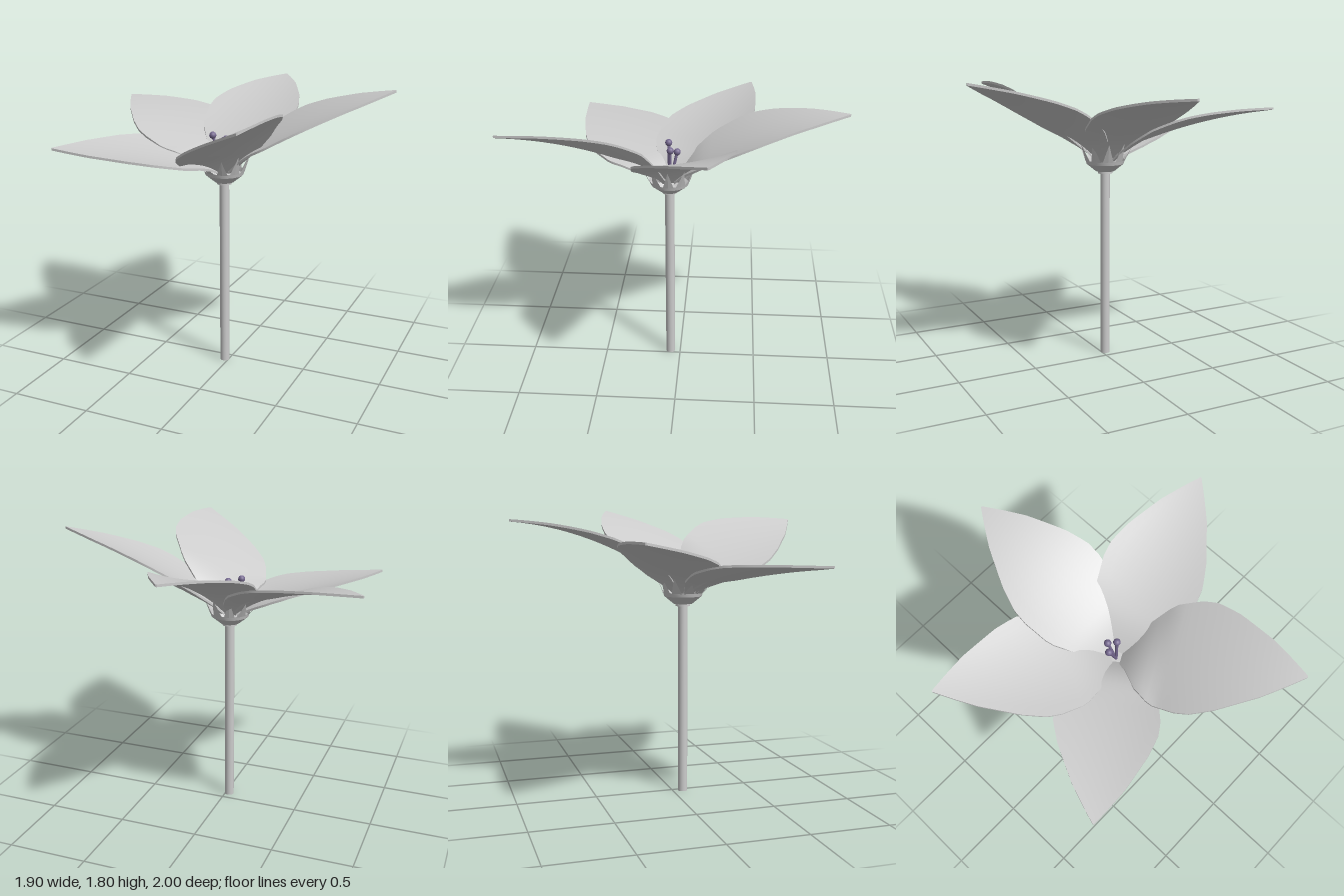
import * as THREE from 'three';
import { toCreasedNormals } from 'three/addons/utils/BufferGeometryUtils.js';

const CX = -0.025, CZ = 0.065; // stem axis

const grey = new THREE.MeshStandardMaterial({ color: 0xcccccc });
const greyThin = new THREE.MeshStandardMaterial({ color: 0xcccccc, side: THREE.DoubleSide });
const purple = new THREE.MeshStandardMaterial({ color: 0x75688f });

function add(parent, name, geometry, material) {
  const mesh = new THREE.Mesh(geometry, material);
  mesh.name = name;
  parent.add(mesh);
  return mesh;
}

// Half-width of a petal along its length: [fraction, half-width]
const OUTLINE = [[0, 0.03], [0.06, 0.07], [0.15, 0.195], [0.25, 0.27], [0.4, 0.298], [0.48, 0.293],
  [0.6, 0.25], [0.8, 0.145], [0.91, 0.07], [1, 0.004]];

function halfWidth(t) {
  let k = 0;
  while (k < OUTLINE.length - 2 && t > OUTLINE[k + 1][0]) k++;
  const [t0, w0] = OUTLINE[k], [t1, w1] = OUTLINE[k + 1];
  return THREE.MathUtils.mapLinear(t, t0, t1, w0, w1);
}

// Thin closed blade: each section is a loop over the upper side and back along the underside
function petalGeometry({ tip: [tx, ty, tz], midY, tilt }) {
  const rows = 24, cols = 10, thick = 0.014, baseY = 1.31;
  const length = Math.hypot(tx - CX, tz - CZ);
  const dx = (tx - CX) / length, dz = (tz - CZ) / length;
  const c = 2 * (ty - baseY) - 4 * (midY - baseY); // height is a parabola through base, middle, tip
  const b = ty - baseY - c;
  const ring = 2 * (cols + 1);
  const pos = [], index = [];
  for (let i = 0; i <= rows; i++) {
    const t = 0.03 + 0.97 * i / rows;
    const w = halfWidth(t);
    const dip = 0.07 * Math.max(0, 1 - t / 0.2) ** 2; // the root drops into the calyx
    const lean = tilt * Math.min(1, t / 0.28);
    for (let k = 0; k < ring; k++) {
      const top = k <= cols;
      const j = top ? k : ring - 1 - k;
      const p = w * (2 * j / cols - 1);
      const y = baseY + b * t + c * t * t - dip + lean * p + 0.35 * p * p + (top ? 0.5 : -0.5) * thick;
      pos.push(CX + dx * t * length + dz * p, y, CZ + dz * t * length - dx * p);
    }
  }
  for (let i = 0; i < rows; i++) {
    for (let k = 0; k < ring; k++) {
      const a = i * ring + k, a2 = i * ring + (k + 1) % ring;
      index.push(a, a + ring, a2, a2, a + ring, a2 + ring);
    }
  }
  // close the tip
  for (let k = 1, e = rows * ring; k < ring - 1; k++) index.push(e, e + k + 1, e + k);
  const g = new THREE.BufferGeometry();
  g.setAttribute('position', new THREE.Float32BufferAttribute(pos, 3));
  g.setIndex(index);
  return toCreasedNormals(g, 0.7);
}

export function createModel() {
  const flower = new THREE.Group();
  flower.name = 'flower';

  // Stem and the small collar on top of it
  add(flower, 'stem', new THREE.CylinderGeometry(0.03, 0.03, 1.21, 16), grey).position.set(CX, 0.605, CZ);
  add(flower, 'collar', new THREE.CylinderGeometry(0.046, 0.046, 0.02, 16), grey).position.set(CX, 1.21, CZ);

  // Calyx: a shallow cup with ten pointed sepals on its rim
  const calyx = new THREE.Group();
  calyx.name = 'calyx';
  calyx.position.set(CX, 0, CZ);
  flower.add(calyx);
  const cup = [[0.0, 1.215], [0.06, 1.215], [0.118, 1.262], [0.126, 1.287]]
    .map(([r, y]) => new THREE.Vector2(r, y));
  add(calyx, 'cup', toCreasedNormals(new THREE.LatheGeometry(cup, 20), 0.4), greyThin);
  const count = 10, rim = 0.126, rimY = 1.283;
  for (let i = 0; i < count; i++) {
    const angle = i * 2 * Math.PI / count, half = 0.85 * Math.PI / count;
    const x = rim * Math.cos(half), z = rim * Math.sin(half);
    // sepals under the lowest petal lie flatter
    const flat = Math.max(0, Math.cos(angle - Math.PI - 0.64));
    const tipR = 0.17 + 0.02 * flat, tipY = 1.4 - 0.065 * flat;
    const sepal = new THREE.BufferGeometry();
    // folded triangle with a ridge down its middle
    sepal.setAttribute('position', new THREE.Float32BufferAttribute([
      x, rimY, z, tipR, tipY, 0, rim, rimY, 0,
      rim, rimY, 0, tipR, tipY, 0, x, rimY, -z], 3));
    sepal.computeVertexNormals();
    add(calyx, 'sepal', sepal, greyThin).rotation.y = angle;
  }

  // Five petals, each with its own tip, rise and sideways tilt
  const petals = [
    { name: 'backPetal', tip: [-0.02, 1.73, -1.0], midY: 1.605, tilt: 0 },
    { name: 'leftPetal', tip: [0.95, 1.795, -0.2], midY: 1.605, tilt: 0.08 },
    { name: 'frontLeftPetal', tip: [0.46, 1.735, 0.995], midY: 1.58, tilt: 0.39 },
    { name: 'frontRightPetal', tip: [-0.85, 1.472, 0.68], midY: 1.415, tilt: -0.1 },
    { name: 'backRightPetal', tip: [-0.95, 1.61, -0.43], midY: 1.51, tilt: -0.15 },
  ];
  for (const p of petals) add(flower, p.name, petalGeometry(p), grey);

  // Three stamens: slender filaments carrying round anthers
  const base = new THREE.Vector3(CX, 1.25, CZ);
  for (const [x, y, z] of [[-0.097, 1.5, 0.075], [-0.015, 1.48, 0.06], [-0.05, 1.46, 0.02]]) {
    const stamen = new THREE.Group();
    stamen.name = 'stamen';
    flower.add(stamen);
    const end = new THREE.Vector3(x, y, z);
    const path = new THREE.LineCurve3(base, end);
    add(stamen, 'filament', new THREE.TubeGeometry(path, 1, 0.009, 8), purple);
    add(stamen, 'anther', new THREE.SphereGeometry(0.022, 12, 8), purple).position.copy(end);
  }
  return flower;
}
